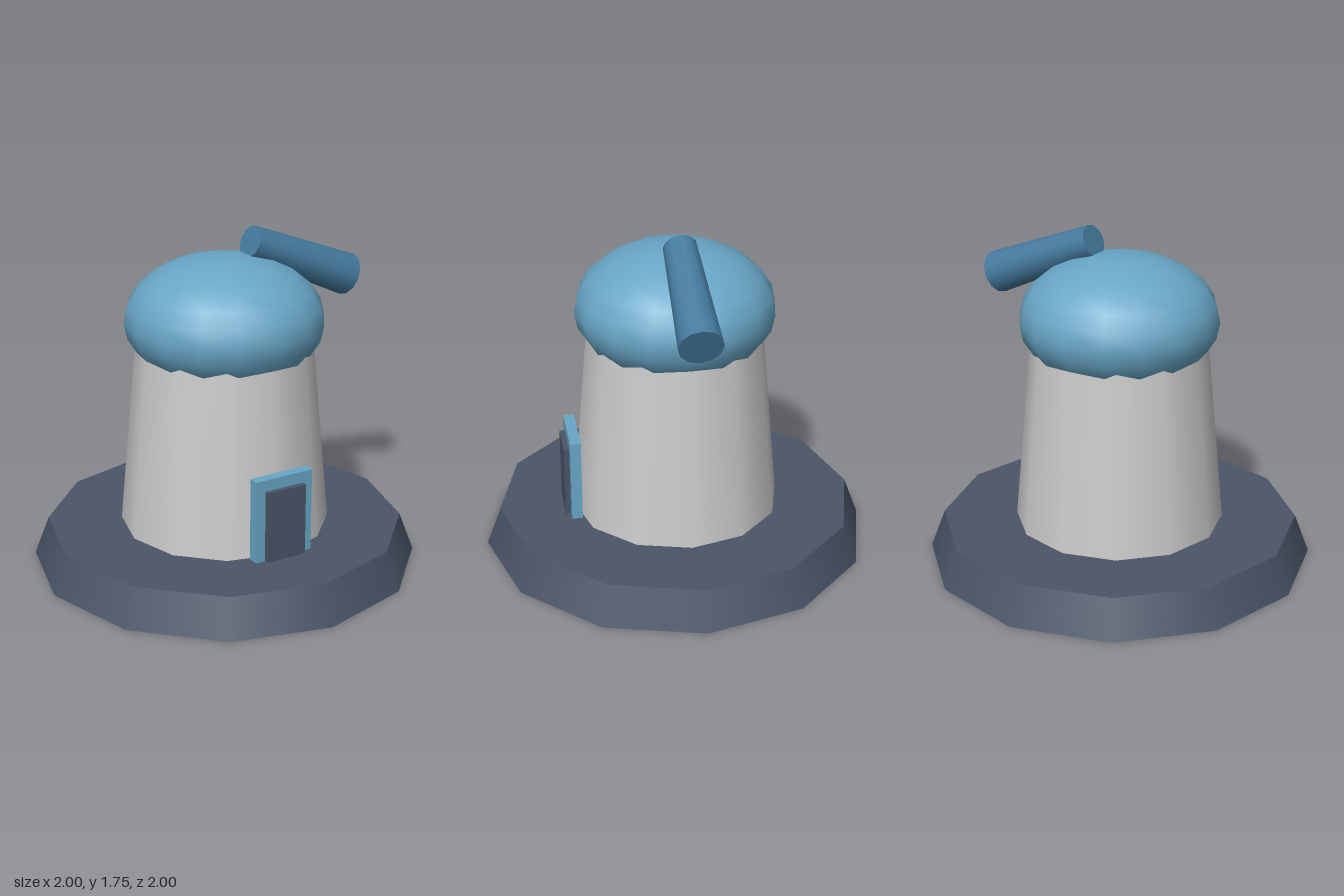
import * as THREE from 'three';

const paint = (color) => new THREE.MeshStandardMaterial({ color });

export function createModel() {
  const model = new THREE.Group();
  const slate = paint(0x4a5568);
  const sky = paint(0x68a6c6);
  const steel = paint(0x457b9f);
  const stone = paint(0xcccccc);

  const add = (name, geometry, material, x, y, z) => {
    const mesh = new THREE.Mesh(geometry, material);
    mesh.name = name;
    mesh.position.set(x, y, z);
    model.add(mesh);
    return mesh;
  };

  // Twelve-sided sloped plinth
  add('base', new THREE.CylinderGeometry(0.925, 1, 0.2, 12), slate, 0, 0.1, 0);

  // Tapered tower, its top hidden inside the dome
  add('tower', new THREE.CylinderGeometry(0.45, 0.54, 1, 12), stone, 0, 0.7, 0);

  // Flattened dome
  const dome = add('dome', new THREE.SphereGeometry(0.51, 16, 12), sky, 0, 1.29, 0);
  dome.scale.y = 0.33 / 0.51;

  // Telescope, wider at its outer end, lying along the slope of the dome
  const inner = new THREE.Vector3(0.151, 1.667, 0);
  const outer = new THREE.Vector3(0.745, 1.41, 0);
  const axis = outer.clone().sub(inner);
  const tube = add('telescope', new THREE.CylinderGeometry(0.11, 0.085, axis.length(), 12), steel,
    (inner.x + outer.x) / 2, (inner.y + outer.y) / 2, 0);
  tube.rotation.z = Math.atan2(axis.y, axis.x) - Math.PI / 2;

  // Doorway: frame with the door standing proud of it
  add('doorFrame', new THREE.BoxGeometry(0.326, 0.435, 0.055), sky, 0, 0.4175, 0.5375);
  add('door', new THREE.BoxGeometry(0.22, 0.375, 0.045), slate, 0, 0.3875, 0.57);

  return model;
}
